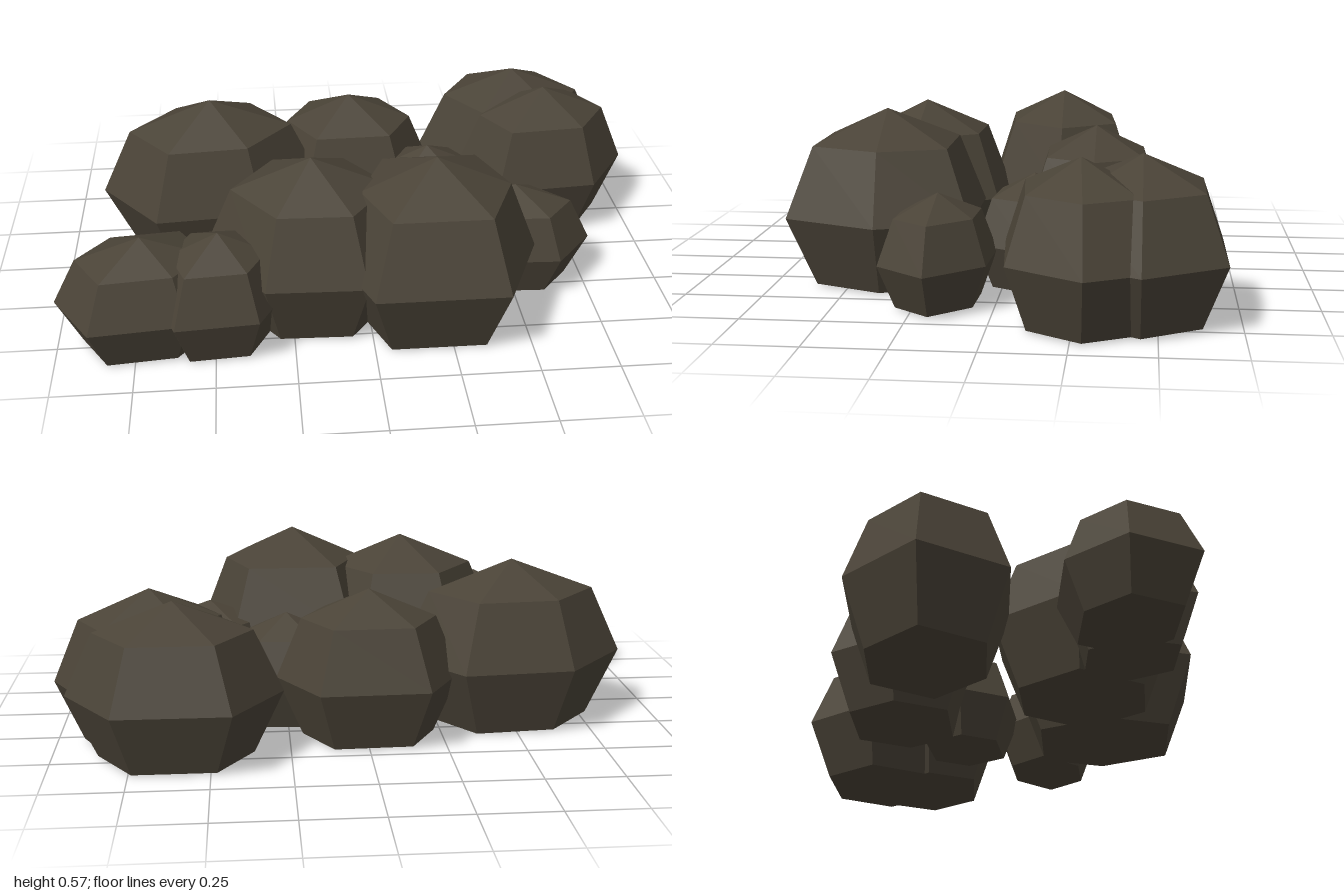
import * as THREE from 'three';

const stone = new THREE.MeshStandardMaterial({ color: 0x4a4337, flatShading: true });
stone.name = 'dark stone';

// Faceted stone with a peak, shoulder ring, girth ring, foot ring and flat base.
// side, frontLeft and frontRight are three girth corners [x, z] measured from
// the centre; the other three corners mirror them.
function makeBoulder(name, [x, height, z], side, frontLeft, frontRight) {
  const half = [side, frontLeft, frontRight].map((corner) => new THREE.Vector2(...corner));
  const ring = [...half.map((corner) => corner.clone().negate()), ...half];
  // Order the corners counter-clockwise as seen from above.
  ring.sort((a, b) => b.angle() - a.angle());

  const girth = height * 0.41;
  const shoulder = height * 0.81;
  const levels = [[0, height], [0.73, shoulder], [1, girth], [0.72, 0.006], [0, 0]];
  const points = levels.flatMap(([scale, y]) => ring.flatMap((p) => [p.x * scale, y, p.y * scale]));

  const n = ring.length;
  const faces = [];
  for (let level = 0; level < levels.length - 1; level++) {
    for (let i = 0; i < n; i++) {
      const j = (i + 1) % n;
      const a = level * n + i;
      const b = a + n;
      const c = (level + 1) * n + j;
      const d = level * n + j;
      if (level < levels.length - 2) faces.push(a, b, c);
      if (level > 0) faces.push(a, c, d);
    }
  }
  const indexed = new THREE.BufferGeometry();
  indexed.setAttribute('position', new THREE.Float32BufferAttribute(points, 3));
  indexed.setIndex(faces);
  const geometry = indexed.toNonIndexed();
  geometry.computeVertexNormals();

  const mesh = new THREE.Mesh(geometry, stone);
  mesh.name = name;
  mesh.position.set(x, 0, z);
  return mesh;
}

export function createModel() {
  const group = new THREE.Group();
  group.name = 'boulderCluster';
  group.add(
    // Large boulders
    makeBoulder('frontBoulder', [0.21, 0.57, 0.39], [0.33, -0.01], [0.2, 0.3], [-0.22, 0.3]),
    makeBoulder('frontMiddleBoulder', [-0.18, 0.55, 0.32], [0.35, 0.01], [0.16, 0.28], [-0.16, 0.27]),
    makeBoulder('backRightBoulder', [-0.5, 0.55, -0.15], [0.38, -0.01], [0.17, 0.24], [-0.19, 0.27]),
    makeBoulder('backMiddleBoulder', [-0.01, 0.49, -0.29], [0.3, 0], [0.18, 0.22], [-0.17, 0.23]),
    makeBoulder('backLeftBoulder', [0.61, 0.5, -0.45], [0.34, 0], [0.18, 0.25], [-0.18, 0.25]),
    makeBoulder('leftBoulder', [0.69, 0.5, -0.27], [0.31, -0.02], [0.16, 0.21], [-0.19, 0.24]),
    // Small stones between and beside them
    makeBoulder('innerStone', [0.25, 0.37, -0.1], [0.22, 0], [0.12, 0.18], [-0.13, 0.16]),
    makeBoulder('leftStone', [0.51, 0.35, 0.18], [0.26, 0.01], [0.13, 0.17], [-0.1, 0.16]),
    makeBoulder('rightStone', [-0.72, 0.37, 0.46], [0.28, 0], [0.14, 0.18], [-0.16, 0.21]),
    makeBoulder('frontRightStone', [-0.48, 0.38, 0.47], [0.21, 0], [0.12, 0.18], [-0.14, 0.2]),
  );
  return group;
}
